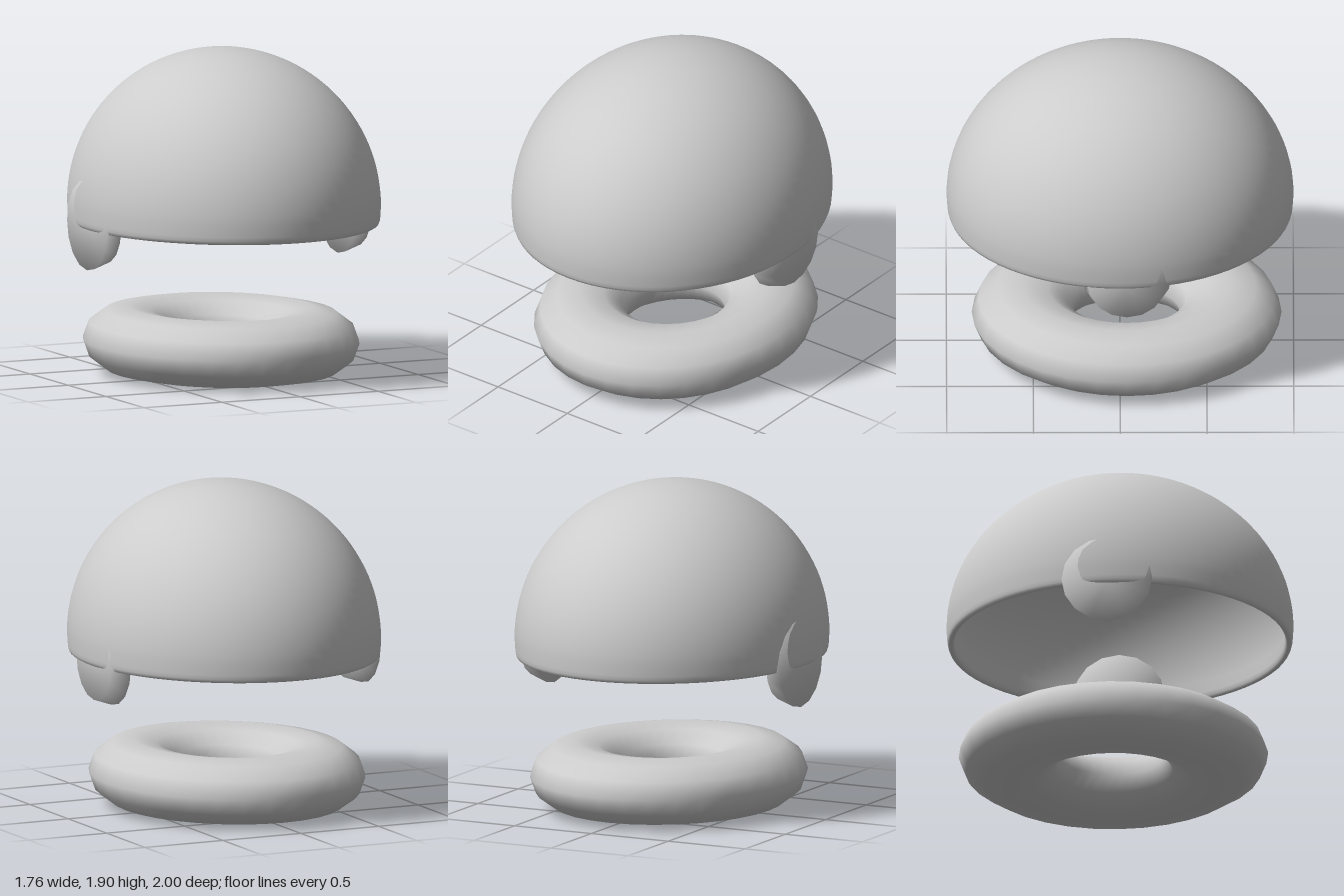
import * as THREE from 'three';
import { mergeVertices } from 'three/addons/utils/BufferGeometryUtils.js';

const grey = new THREE.MeshStandardMaterial({ color: 0xcccccc });
grey.name = 'plain grey';

function addPart(group, name, geometry, x, y, z) {
  const mesh = new THREE.Mesh(geometry, grey);
  mesh.name = name;
  mesh.position.set(x, y, z);
  group.add(mesh);
}

// Hollow half-ellipsoid shell with a rounded lip, origin at its widest level
function shellGeometry() {
  const steps = 28;
  const profile = [];
  for (let i = 0; i <= steps; i++) { // inner wall, crown to lip
    const a = (i / steps) * Math.PI / 2;
    profile.push(new THREE.Vector2(0.955 * Math.sin(a), 0.86 * Math.cos(a)));
  }
  [[0.953, -0.07], [0.956, -0.095], [0.965, -0.107], [0.975, -0.11],
    [0.986, -0.104], [0.993, -0.088], [0.996, -0.065]]
    .forEach(([r, y]) => profile.push(new THREE.Vector2(r, y)));
  for (let i = 0; i <= steps; i++) { // outer wall, lip to crown
    const a = (i / steps) * Math.PI / 2;
    profile.push(new THREE.Vector2(i === steps ? 0 : Math.cos(a), 0.9 * Math.sin(a)));
  }
  return new THREE.LatheGeometry(profile, 72).scale(0.88, 1, 1);
}

// Tapered disc lying along x, wide end towards -x, with soft shading
function earDiscGeometry() {
  let g = new THREE.CylinderGeometry(0.225, 0.262, 0.11, 16);
  g.rotateZ(-Math.PI / 2);
  g.deleteAttribute('normal');
  g.deleteAttribute('uv');
  g = mergeVertices(g);
  g.computeVertexNormals();
  return g;
}

// Oval ring with a flattened tube
function collarGeometry() {
  const g = new THREE.TorusGeometry(0.52, 0.255, 12, 32);
  g.rotateX(Math.PI / 2);
  g.scale(1, 0.195 / 0.255, 1.152);
  return g;
}

export function createModel() {
  const group = new THREE.Group();
  group.name = 'helmet';
  addPart(group, 'shell', shellGeometry(), 0, 1.0, 0);
  addPart(group, 'leftEarDisc', earDiscGeometry(), 0.8, 0.917, -0.038);
  addPart(group, 'rightEarDisc', earDiscGeometry(), -0.805, 0.917, -0.038);
  addPart(group, 'collarRing', collarGeometry(), 0, 0.195, -0.038);
  return group;
}
